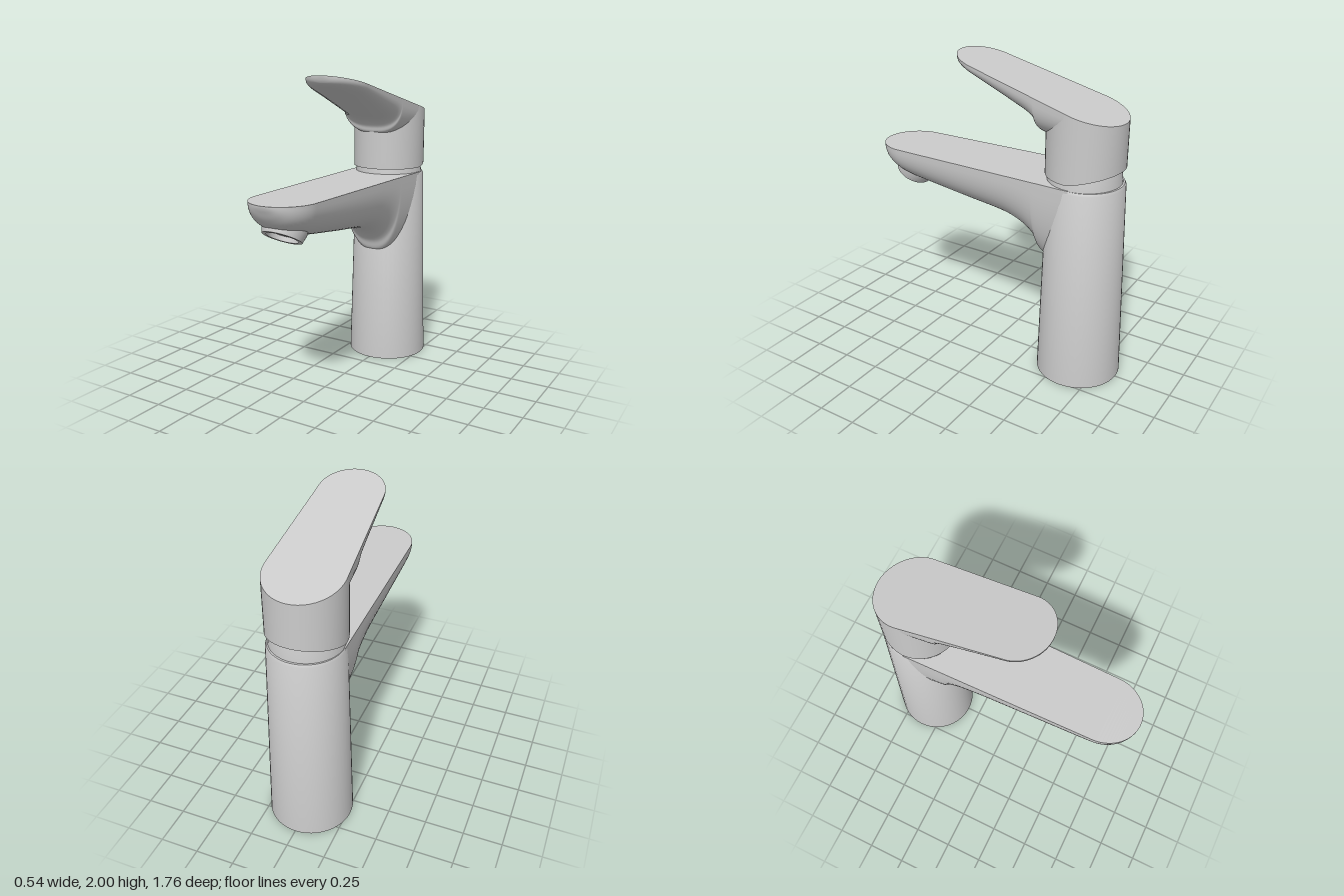
import * as THREE from 'three';
import { toCreasedNormals } from 'three/addons/utils/BufferGeometryUtils.js';

const material = new THREE.MeshStandardMaterial({ color: 0xcccccc, side: THREE.DoubleSide });
const AXIS_Z = -0.605; // vertical axis of column and handle

function addPart(group, name, geometry, z = 0, y = 0) {
  const mesh = new THREE.Mesh(geometry, material);
  mesh.name = name;
  mesh.position.set(0, y, z);
  group.add(mesh);
  return mesh;
}

const lathe = (points, sides = 48) =>
  toCreasedNormals(new THREE.LatheGeometry(points.map(([r, y]) => new THREE.Vector2(r, y)), sides), 0.6);

// Flat-topped arm with a rounded belly: underside profile (z, y), top height and half-width by z
function armGeometry(profile, topAt, widthAt, power, across = 28) {
  const stations = new THREE.SplineCurve(profile.map(([z, y]) => new THREE.Vector2(z, y))).getPoints(72);
  const positions = [], index = [];
  const bend = (v) => Math.sign(v) * Math.pow(Math.abs(v), 2 / power);
  // belly
  stations.forEach(({ x: z, y }, i) => {
    const w = widthAt(z), top = topAt(z), depth = Math.max(top - y, 0);
    for (let j = 0; j <= across; j++) {
      const a = (j / across) * Math.PI;
      positions.push(w * bend(Math.cos(a)), top - depth * bend(Math.sin(a)), z);
      if (i > 0 && j > 0) {
        const d = i * (across + 1) + j, c = d - 1, b = d - across - 1, e = b - 1;
        index.push(e, c, b, b, c, d);
      }
    }
  });
  // flat top, with its own vertices for a sharp rim
  const start = positions.length / 3;
  stations.forEach(({ x: z }, i) => {
    const w = widthAt(z), top = topAt(z);
    positions.push(w, top, z, -w, top, z);
    if (i > 0) {
      const a = start + 2 * (i - 1);
      index.push(a, a + 1, a + 2, a + 1, a + 3, a + 2);
    }
  });
  const geometry = new THREE.BufferGeometry();
  geometry.setAttribute('position', new THREE.Float32BufferAttribute(positions, 3));
  geometry.setIndex(index);
  geometry.computeVertexNormals();
  return geometry;
}

// Half-width tapering from w0 to w1, then an elliptical tip between z1 and z2
const taperedWidth = (w0, w1, z1, z2) => (z) => {
  const t = Math.min((z - AXIS_Z) / (z1 - AXIS_Z), 1);
  const e = THREE.MathUtils.clamp((z - z1) / (z2 - z1), 0, 1);
  return THREE.MathUtils.lerp(w0, w1, t) * Math.sqrt(1 - e * e);
};

export function createModel() {
  const faucet = new THREE.Group();
  faucet.name = 'faucet';

  // Tapered column, open underneath
  addPart(faucet, 'column', lathe([[0.27, 0], [0.237, 1.3], [0.229, 1.316], [0, 1.316]]), AXIS_Z - 0.003);

  // Spout growing out of the column
  addPart(faucet, 'spout', armGeometry(
    [[AXIS_Z, 0.74], [-0.45, 0.75], [-0.365, 0.79], [-0.335, 0.86], [-0.28, 0.92], [-0.2, 0.968],
      [-0.08, 1.005], [0.2, 1.042], [0.57, 1.095], [0.7, 1.13], [0.79, 1.175], [0.84, 1.23],
      [0.867, 1.28], [0.877, 1.305], [0.88, 1.32]],
    () => 1.32, taperedWidth(0.235, 0.212, 0.65, 0.88), 2.3));

  // Tilted outlet with a recessed opening
  const outlet = addPart(faucet, 'outlet',
    lathe([[0, 0.03], [0.092, 0.03], [0.098, 0], [0.121, 0], [0.136, 0.05], [0.136, 0.08]], 36), 0.695, 1.1);
  outlet.rotation.x = -0.51;

  // Neck between column and handle
  addPart(faucet, 'neck', lathe([[0.228, 1.31], [0.222, 1.37], [0.21, 1.43], [0, 1.43]]), AXIS_Z + 0.008);

  // Handle hub: sloping top, underside rising toward the back
  const handle = new THREE.Group();
  handle.name = 'handle';
  faucet.add(handle);
  const slopeAt = (z) => 2 + (z - 0.27) * 0.266;
  const hub = new THREE.CylinderGeometry(0.242, 0.242, 1, 48);
  hub.translate(0, 0, AXIS_Z + 0.006);
  const p = hub.attributes.position;
  for (let i = 0; i < p.count; i++) {
    const z = p.getZ(i);
    p.setY(i, p.getY(i) > 0 ? slopeAt(z) : 1.355 + Math.max(0, -0.599 - z) * 0.25);
  }
  addPart(handle, 'handleHub', toCreasedNormals(hub, 0.6));

  // Lever sweeping forward and up from the hub
  addPart(handle, 'lever', armGeometry(
    [[AXIS_Z, 1.58], [-0.45, 1.585], [-0.365, 1.6], [-0.345, 1.645], [-0.3, 1.69], [-0.2, 1.74],
      [0, 1.832], [0.14, 1.895], [0.22, 1.93], [0.25, 1.948], [0.262, 1.965], [0.268, 1.985], [0.27, 2]],
    slopeAt, taperedWidth(0.242, 0.206, 0.07, 0.27), 2.6));

  return faucet;
}
